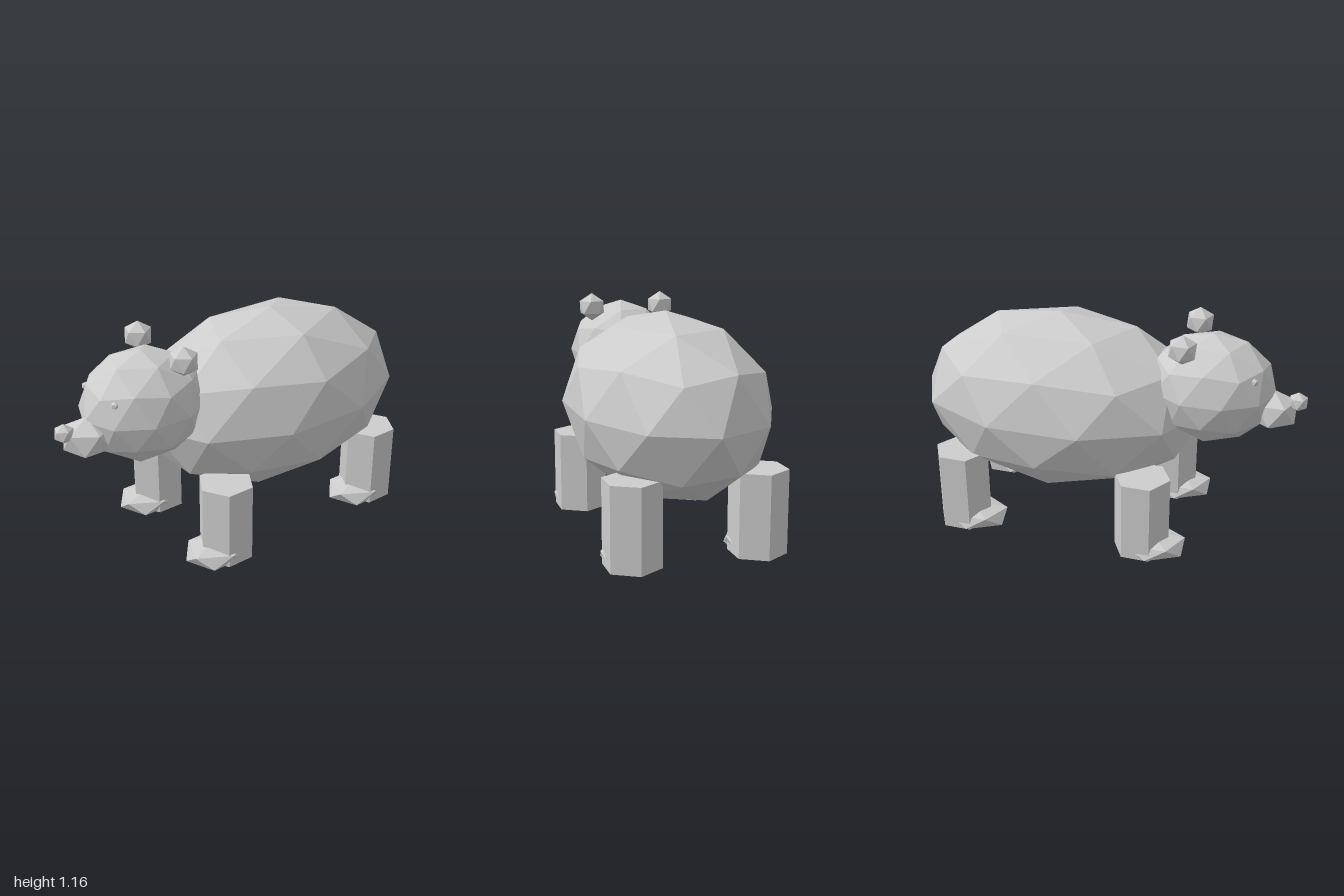
import * as THREE from 'three';

const fur = new THREE.MeshStandardMaterial({ color: 0xcccccc });
fur.name = 'grey fur';

// Faceted ball with one vertex at the top and one of the upper ring towards +x
function ball(name, detail, radii, position) {
  const geometry = new THREE.IcosahedronGeometry(1, detail);
  geometry.rotateX(-Math.atan((1 + Math.sqrt(5)) / 2));
  geometry.rotateY(Math.PI / 2);
  geometry.scale(...radii);
  geometry.computeVertexNormals(); // unshared corners give flat facets
  const mesh = new THREE.Mesh(geometry, fur);
  mesh.name = name;
  mesh.position.set(...position);
  return mesh;
}

// Six-sided post with a flattened paw poking out in front
function leg(name, x, z) {
  const group = new THREE.Group();
  group.name = name;
  const geometry = new THREE.CylinderGeometry(0.142, 0.142, 0.41, 6).toNonIndexed();
  geometry.computeVertexNormals();
  const post = new THREE.Mesh(geometry, fur);
  post.name = 'legPost';
  post.position.y = 0.235;
  group.add(post, ball('paw', 0, [0.151, 0.067, 0.194], [0, 0.067, 0.052]));
  group.position.set(x, 0, z);
  return group;
}

export function createModel() {
  const bear = new THREE.Group();
  bear.name = 'bear';

  // Trunk and head
  bear.add(ball('body', 1, [0.49, 0.46, 0.75], [0, 0.672, -0.25]));
  bear.add(ball('head', 1, [0.275, 0.277, 0.32], [0, 0.828, 0.53]));
  bear.add(ball('snout', 0, [0.126, 0.106, 0.135], [0, 0.745, 0.835]));
  bear.add(ball('nose', 0, [0.05, 0.05, 0.05], [0, 0.802, 0.957]));

  // Paired parts
  for (const [side, s] of [['left', 1], ['right', -1]]) {
    bear.add(ball(side + 'Ear', 0, [0.075, 0.074, 0.075], [s * 0.193, 1.084, 0.42]));
    bear.add(ball(side + 'Eye', 0, [0.02, 0.02, 0.02], [s * 0.13, 0.935, 0.757]));
    bear.add(leg(side + 'FrontLeg', s * 0.308, 0.268));
    bear.add(leg(side + 'BackLeg', s * 0.308, -0.695));
  }
  return bear;
}
